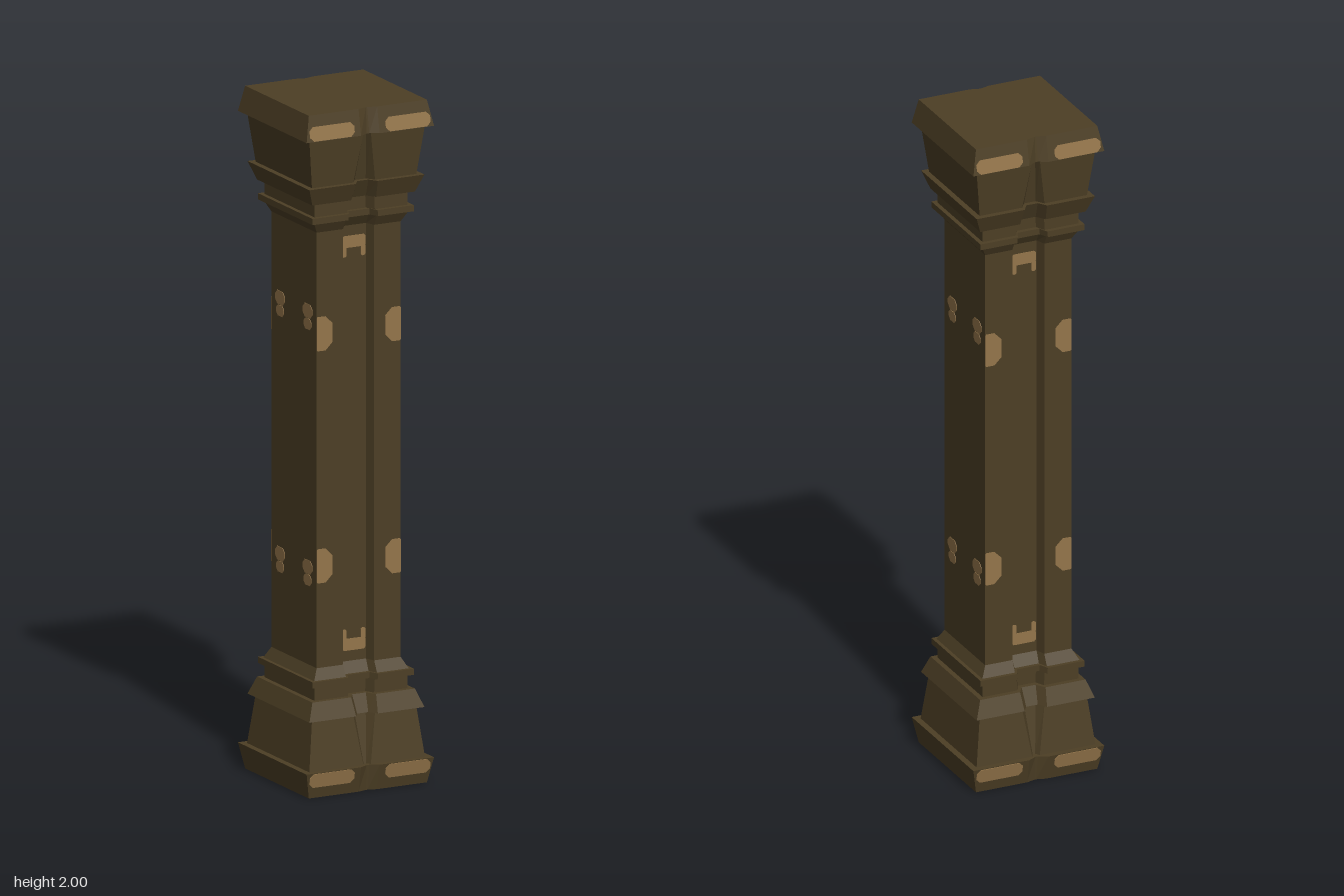
import * as THREE from 'three';

const stone = new THREE.MeshStandardMaterial({ color: 0x4d3f25 });
stone.name = 'dark brown stone';
const gold = new THREE.MeshStandardMaterial({ color: 0x94754a });
gold.name = 'worn gold';

// Lower half of the pillar: [height, half width, notch half width, notch floor half width, notch depth]
const BASE = [
  [0, 0.19, 0.03, 0.002, 0.008],
  [0.075, 0.205, 0.03, 0.004, 0.014],
  [0.075, 0.186, 0.012, 0.004, 0.014],
  [0.22, 0.168, 0.035, 0.018, 0.024],
  [0.22, 0.185, 0.035, 0.018, 0.026],
  [0.272, 0.165, 0.04, 0.022, 0.028],
  [0.272, 0.15, 0.042, 0.028, 0.028],
  [0.312, 0.15, 0.044, 0.03, 0.028],
  [0.312, 0.163, 0.046, 0.034, 0.028],
  [0.33, 0.163, 0.048, 0.036, 0.028],
  [0.33, 0.152, 0.05, 0.038, 0.028],
  [0.362, 0.135, 0.05, 0.04, 0.03],
];
const LEVELS = [...BASE, ...BASE.map(([y, ...rest]) => [2 - y, ...rest]).reverse()];

// Square outline with a notch in the front and the back
function ring([y, w, a, b, d]) {
  const front = [[-w, w], [-a, w], [-b, w - d], [b, w - d], [a, w], [w, w]];
  return [...front, ...front.map(([x, z]) => [-x, -z])].map(([x, z]) => [x, y, z]);
}

function pillarGeometry() {
  const rings = LEVELS.map(ring), n = rings[0].length, pos = [];
  const tri = (...corners) => corners.forEach((c) => pos.push(...c));
  for (let i = 0; i < rings.length - 1; i++) {
    for (let j = 0; j < n; j++) {
      const k = (j + 1) % n, lo = rings[i], hi = rings[i + 1];
      tri(lo[j], lo[k], hi[k]);
      tri(lo[j], hi[k], hi[j]);
    }
  }
  // End faces
  const bottom = rings[0], top = rings[rings.length - 1];
  for (let j = 0; j < n; j++) {
    const k = (j + 1) % n;
    tri([0, 0, 0], bottom[k], bottom[j]);
    tri([0, 2, 0], top[j], top[k]);
  }
  const g = new THREE.BufferGeometry();
  g.setAttribute('position', new THREE.Float32BufferAttribute(pos, 3));
  g.computeVertexNormals();
  return g;
}

// Thin plate with chamfered corners, cut by c1 on its left and c2 on its right
function plate(w, h, c1, c2) {
  const x = w / 2, y = h / 2;
  const pts = [[-x + c1, -y], [x - c2, -y], [x, -y + c2], [x, y - c2],
    [x - c2, y], [-x + c1, y], [-x, y - c1], [-x, -y + c1]];
  const shape = new THREE.Shape(pts.map(([px, py]) => new THREE.Vector2(px, py)));
  return new THREE.ExtrudeGeometry(shape, { depth: 0.002, bevelEnabled: false });
}

export function createModel() {
  const model = new THREE.Group();
  model.name = 'pillar';
  const body = new THREE.Mesh(pillarGeometry(), stone);
  body.name = 'pillarBody';
  model.add(body);

  function add(parent, name, geometry, x, y, z, tilt = 0) {
    const m = new THREE.Mesh(geometry, gold);
    m.name = name;
    m.position.set(x, y, z);
    m.rotation.x = tilt;
    parent.add(m);
  }

  const slope = Math.atan2(0.015, 0.075);
  for (const turn of [0, 1]) {
    // Patches on the front and the back
    const face = new THREE.Group();
    face.name = turn ? 'backWear' : 'frontWear';
    face.rotation.y = turn * Math.PI;
    for (const up of [-1, 1]) {
      for (const s of [-1, 1]) {
        add(face, 'slabWear', plate(0.144, 0.042, 0.012, 0.012), s * 0.122, 1 + up * 0.947, 0.2015, -up * slope);
        const edge = s > 0 ? plate(0.05, 0.1, 0.022, 0.003) : plate(0.05, 0.1, 0.003, 0.022);
        add(face, 'shaftEdgeWear', edge, s * 0.11, 1 + up * 0.34, 0.1345);
      }
      add(face, 'grooveWear', plate(0.076, 0.035, 0.006, 0.006), 0, 1 + up * 0.59, 0.1045);
      for (const s of [-1, 1]) {
        add(face, 'grooveWearTail', plate(0.014, 0.034, 0.004, 0.004), s * 0.03, 1 + up * 0.562, 0.1045);
      }
    }
    model.add(face);

    // Patches on the left and the right
    const side = new THREE.Group();
    side.name = turn ? 'rightWear' : 'leftWear';
    side.rotation.y = (turn ? -1 : 1) * Math.PI / 2;
    for (const s of [-1, 1]) {
      for (const y of [0.63, 1.38]) {
        add(side, 'sideWear', plate(0.058, 0.04, 0.013, 0.013), s * 0.082, y + 0.017, 0.1345);
        add(side, 'sideWearTail', plate(0.046, 0.032, 0.01, 0.01), s * 0.082, y - 0.021, 0.1345);
      }
    }
    model.add(side);
  }
  return model;
}
